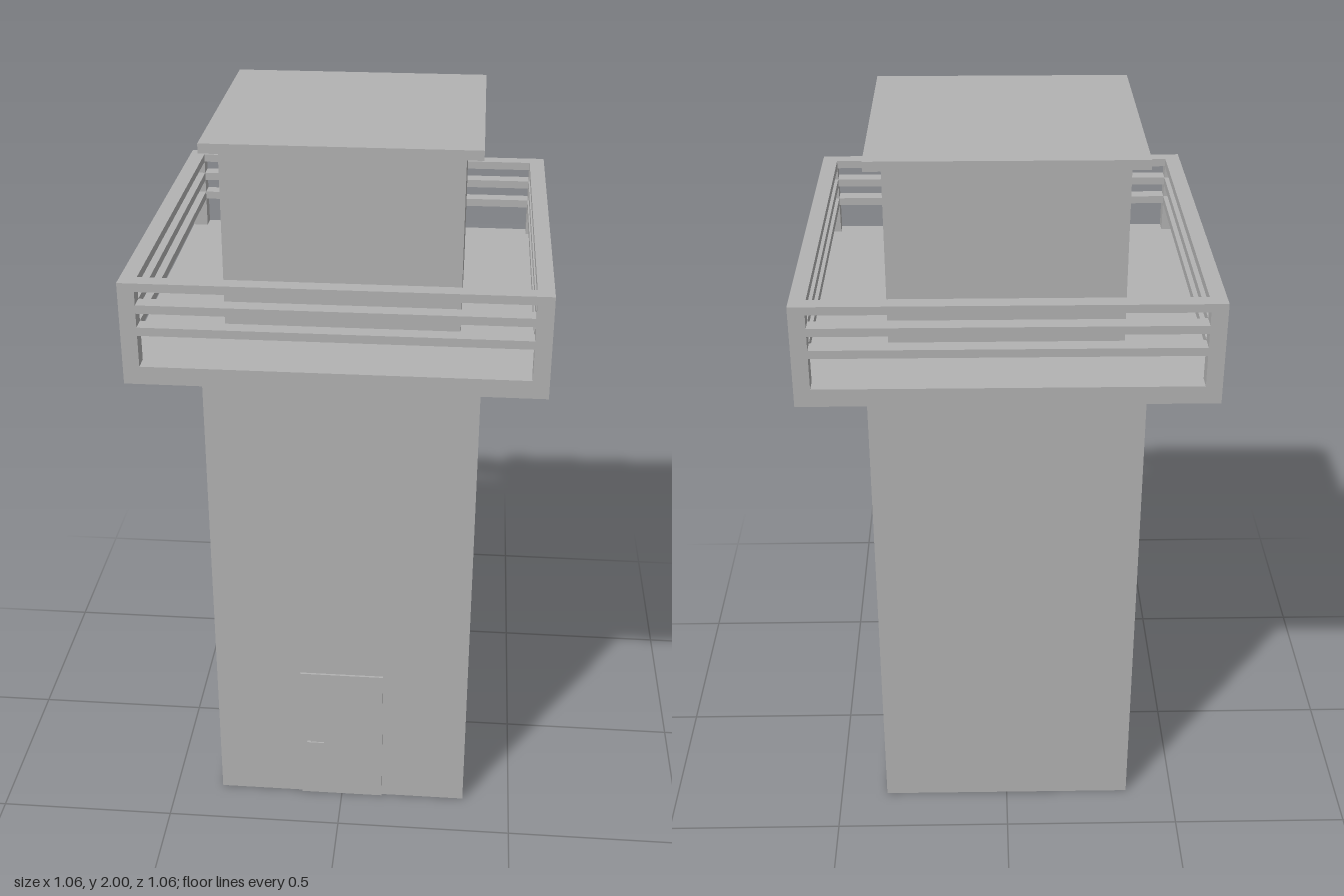
import * as THREE from 'three';

export function createModel() {
  const model = new THREE.Group();
  model.name = 'watchtower';
  const concrete = new THREE.MeshStandardMaterial({ color: 0xb2b2b2 });
  concrete.name = 'concrete grey';

  // Box given by its size, bottom height and horizontal centre
  function box(name, w, h, d, x, bottom, z, parent = model) {
    const mesh = new THREE.Mesh(new THREE.BoxGeometry(w, h, d), concrete);
    mesh.name = name;
    mesh.position.set(x, bottom + h / 2, z);
    parent.add(mesh);
    return mesh;
  }

  // Tower body, deck, cabin and roof slab
  box('shaft', 0.726, 1.435, 0.726, 0, 0, 0);
  box('deck', 1.056, 0.048, 1.056, 0, 1.435, 0);
  box('cabin', 0.61, 0.494, 0.61, 0, 1.483, 0);
  box('roof', 0.694, 0.025, 0.694, 0, 1.975, 0);

  // Railing: one corner post and three rails per side
  const half = 0.528, thick = 0.042, mid = half - thick / 2;
  for (let i = 0; i < 4; i++) {
    const side = new THREE.Group();
    side.name = 'railingSide';
    side.rotation.y = (i * Math.PI) / 2;
    box('cornerPost', thick, 0.222, thick, mid, 1.483, mid, side);
    for (const bottom of [1.567, 1.626, 1.683]) {
      box('rail', 2 * (half - thick), 0.022, thick, 0, bottom, mid, side);
    }
    model.add(side);
  }

  // Door and lever handle on the front face
  box('door', 0.24, 0.44, 0.006, 0, 0, 0.366);
  box('handleStem', 0.012, 0.012, 0.006, -0.095, 0.183, 0.371);
  box('handleLever', 0.05, 0.012, 0.004, -0.077, 0.183, 0.374);

  return model;
}
